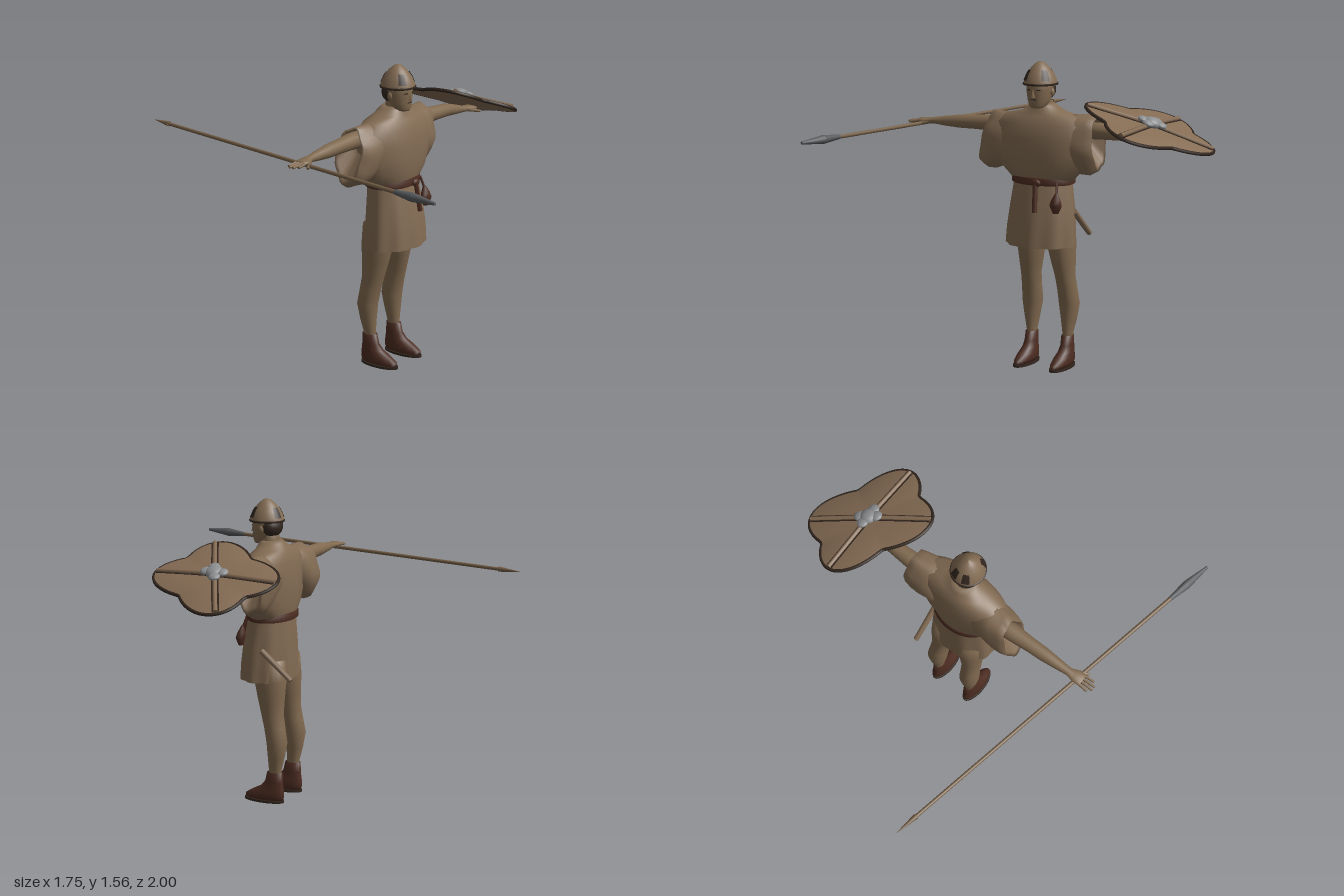
import * as THREE from 'three';

const V = (x, y, z) => new THREE.Vector3(x, y, z);
const paint = (name, color, side = THREE.FrontSide) => {
  const m = new THREE.MeshStandardMaterial({ color, side });
  m.name = name;
  return m;
};

// Skin a list of closed rings; optional end points close the ends.
function loft(rings, start, end) {
  const n = rings[0].length, pts = rings.flat(), idx = [];
  for (let i = 0; i < rings.length - 1; i++)
    for (let j = 0; j < n; j++) {
      const a = i * n + j, b = i * n + (j + 1) % n;
      idx.push(a, a + n, b, b, a + n, b + n);
    }
  const cap = (p, base, flip) => {
    const c = pts.push(p) - 1;
    for (let j = 0; j < n; j++) {
      const a = base + j, b = base + (j + 1) % n;
      idx.push(c, flip ? a : b, flip ? b : a);
    }
  };
  if (start) cap(start, 0, true);
  if (end) cap(end, (rings.length - 1) * n, false);
  const g = new THREE.BufferGeometry().setFromPoints(pts);
  g.setIndex(idx);
  g.computeVertexNormals();
  return g;
}

// Upright form: rows of [y, centre x, radius x, centre z, radius z, fold depth]
function upright(rows, { n = 24, folds = 7, close = true } = {}) {
  const rings = rows.map(([y, cx, rx, cz, rz, f = 0]) => Array.from({ length: n }, (_, j) => {
    const t = j / n * Math.PI * 2, k = 1 + f * Math.sin(folds * t + 0.6);
    return V(cx + rx * k * Math.cos(t), y, cz + rz * k * Math.sin(t));
  }));
  const mid = r => V(r[1], r[0], r[3]);
  return close ? loft(rings, mid(rows[0]), mid(rows.at(-1))) : loft(rings);
}

// Sideways form: rows of [x, centre y, radius y, centre z, radius z, fold depth]; s picks the side
function sideways(rows, s, { n = 16, shear = 0, folds = 6 } = {}) {
  const rings = rows.map(([x, cy, ry, cz, rz, f = 0]) => Array.from({ length: n }, (_, j) => {
    const t = j / n * Math.PI * 2, k = 1 + f * Math.sin(folds * t);
    const y = cy + ry * k * Math.cos(t);
    return V(s * (x + shear * (1.3 - y)), y, cz - s * rz * k * Math.sin(t));
  }));
  const mid = r => V(s * (r[0] + shear * (1.3 - r[1])), r[1], r[3]);
  return loft(rings, mid(rows[0]), mid(rows.at(-1)));
}

// Tapered rod between two points
function rod(a, b, ra, rb = ra, sides = 10) {
  const d = b.clone().sub(a), g = new THREE.CylinderGeometry(rb, ra, d.length(), sides);
  g.applyQuaternion(new THREE.Quaternion().setFromUnitVectors(V(0, 1, 0), d.clone().normalize()));
  const m = a.clone().add(b).multiplyScalar(0.5);
  return g.translate(m.x, m.y, m.z);
}

export function createModel() {
  const cloth = paint('tunic cloth', 0x826b53, THREE.DoubleSide);
  const skin = paint('skin', 0x80694f);
  const leather = paint('brown leather', 0x4c2c21);
  const dark = paint('dark trim', 0x32261e, THREE.DoubleSide);
  const hide = paint('shield face', 0x856c54);
  const wood = paint('spear wood', 0x766048);
  const iron = paint('spear iron', 0x585a5c);
  const steel = paint('boss steel', 0x8c8e90);
  const model = new THREE.Group();
  const body = new THREE.Group();
  body.name = 'figure';
  body.position.x = -0.008;
  model.add(body);
  const add = (name, geo, mat, parent = body) => {
    const m = new THREE.Mesh(geo, mat);
    m.name = name;
    parent.add(m);
    return m;
  };

  // Tunic
  add('skirt', upright([
    [0.64, -0.005, 0.183, 0.17, 0.138, 0.035], [0.72, -0.003, 0.18, 0.168, 0.135, 0.03],
    [0.82, 0, 0.172, 0.162, 0.128, 0.02], [0.92, 0, 0.16, 0.155, 0.115, 0.01], [0.98, 0, 0.155, 0.15, 0.108],
  ], { n: 48, folds: 9, close: false }), cloth);
  add('tunicTop', upright([
    [0.955, 0, 0.155, 0.15, 0.105], [0.985, 0, 0.18, 0.15, 0.113, 0.01], [1.03, 0, 0.225, 0.152, 0.12, 0.02],
    [1.1, 0, 0.258, 0.153, 0.125, 0.02], [1.18, 0, 0.268, 0.152, 0.123, 0.01], [1.25, 0, 0.255, 0.15, 0.112],
    [1.29, 0, 0.21, 0.145, 0.092], [1.31, 0, 0.12, 0.145, 0.08], [1.34, 0, 0.07, 0.15, 0.066], [1.352, 0, 0.056, 0.155, 0.056],
  ], { n: 40 }), cloth);
  for (const s of [1, -1]) {
    const w = s < 0 ? 0.01 : 0;
    add('sleeve', sideways([
      [0.1, 1.17, 0.13, 0.14, 0.1], [0.2, 1.155 - w, 0.148, 0.135, 0.1, 0.02],
      [0.25, 1.155 - w, 0.148, 0.13, 0.092, 0.04], [0.29, 1.165 - w, 0.135, 0.125, 0.08, 0.06],
      [0.285, 1.17 - w, 0.118, 0.125, 0.065, 0.06], [0.22, 1.2, 0.06, 0.125, 0.04],
    ], s, { n: 30, shear: s < 0 ? 0.26 : 0.04 }), cloth);

    // Arm and hand; the left hand is lower, gripping behind the shield
    const h = s > 0 ? 0.02 : 0;
    add('arm', sideways([
      [0.2, 1.225, 0.045, 0.125, 0.048], [0.32, 1.225, 0.041, 0.125, 0.044], [0.42, 1.222, 0.036, 0.128, 0.037],
      [0.5, 1.22, 0.034, 0.13, 0.035], [0.58, 1.217 - h / 2, 0.026, 0.132, 0.028], [0.65, 1.215 - h, 0.017, 0.134, 0.021],
      [0.69, 1.213 - h, 0.015, 0.138, 0.034], [0.73, 1.212 - h, 0.013, 0.14, 0.035],
    ], s), skin);
    const reach = s > 0 ? 0.745 : 0.795;
    for (let i = 0; i < 4; i++)
      add('finger', rod(V(s * 0.715, 1.212 - h, 0.116 + i * 0.016),
        V(s * (reach - (i % 3 ? 0 : 0.018)), 1.205 - h, 0.109 + i * 0.02), 0.009, 0.006, 8), skin);
    add('thumb', rod(V(s * 0.675, 1.21 - h, 0.155), V(s * 0.735, 1.195 - h, 0.19), 0.011, 0.006, 8), skin);

    // Leg
    add('leg', upright([
      [0.1, s * 0.104, 0.025, 0.085, 0.033], [0.17, s * 0.104, 0.026, 0.085, 0.034], [0.24, s * 0.106, 0.04, 0.078, 0.044],
      [0.32, s * 0.106, 0.053, 0.073, 0.054], [0.4, s * 0.102, 0.05, 0.088, 0.056], [0.47, s * 0.098, 0.05, 0.103, 0.06],
      [0.55, s * 0.092, 0.06, 0.112, 0.072], [0.64, s * 0.086, 0.072, 0.12, 0.085], [0.75, s * 0.082, 0.075, 0.13, 0.088],
    ]), skin);

    // Shoe and sole
    add('shoe', upright([
      [0.012, s * 0.104, 0.036, 0.148, 0.105], [0.03, s * 0.104, 0.042, 0.145, 0.11], [0.055, s * 0.104, 0.04, 0.126, 0.09],
      [0.08, s * 0.104, 0.034, 0.104, 0.064], [0.11, s * 0.104, 0.031, 0.092, 0.049], [0.16, s * 0.104, 0.029, 0.087, 0.042],
    ], { n: 20 }), leather);
    const sole = new THREE.CylinderGeometry(1, 1, 0.012, 24);
    sole.scale(0.046, 1, 0.112).translate(s * 0.104, 0.006, 0.148);
    add('sole', sole, dark);
  }

  // Belt, tail, pouch and scabbard
  add('belt', upright([
    [0.95, 0, 0.16, 0.15, 0.115], [0.955, 0, 0.168, 0.15, 0.123], [0.985, 0, 0.166, 0.15, 0.121], [0.99, 0, 0.158, 0.15, 0.113],
  ], { n: 36 }), leather);
  add('beltKnot', new THREE.SphereGeometry(0.022, 12, 8).scale(1.2, 0.9, 0.6).translate(0.025, 0.965, 0.275), leather);
  add('beltTail', rod(V(0.03, 0.82, 0.3), V(0.022, 0.965, 0.277), 0.013, 0.012, 6), leather);
  add('pouch', upright([
    [0.82, 0.13, 0.016, 0.265, 0.012], [0.86, 0.13, 0.035, 0.265, 0.025], [0.885, 0.13, 0.027, 0.262, 0.02], [0.92, 0.13, 0.007, 0.255, 0.008],
  ], { n: 8 }), leather);
  add('pouchStrap', rod(V(0.13, 0.91, 0.255), V(0.12, 0.97, 0.235), 0.006), leather);
  add('scabbard', rod(V(0.163, 0.81, 0.13), V(0.163, 0.672, -0.035), 0.016, 0.014, 8), cloth);

  // Neck, head and face
  add('neck', upright([[1.3, 0, 0.055, 0.16, 0.055], [1.35, 0, 0.048, 0.165, 0.05], [1.42, 0, 0.048, 0.17, 0.05]]), skin);
  add('head', upright([
    [1.333, 0, 0.03, 0.215, 0.03], [1.345, 0, 0.046, 0.205, 0.045], [1.375, 0, 0.058, 0.193, 0.06],
    [1.42, 0, 0.066, 0.184, 0.073], [1.46, 0, 0.066, 0.182, 0.075], [1.5, 0, 0.05, 0.18, 0.06],
  ]), skin);
  add('nose', new THREE.ConeGeometry(0.012, 0.045, 4).translate(0, 1.41, 0.258), skin);
  add('beard', new THREE.SphereGeometry(0.034, 14, 8).scale(1.15, 0.45, 0.9).translate(0, 1.345, 0.218), dark);
  add('hair', new THREE.SphereGeometry(0.066, 20, 12).scale(1.04, 0.85, 0.85).translate(0, 1.42, 0.155), dark);
  for (const s of [1, -1]) {
    add('ear', new THREE.SphereGeometry(0.015, 8, 6).scale(0.6, 1.3, 1).translate(s * 0.068, 1.41, 0.18), skin);
    add('eye', new THREE.BoxGeometry(0.02, 0.006, 0.006).rotateY(s * 0.4).translate(s * 0.026, 1.424, 0.249), dark);
  }
  add('mouth', new THREE.BoxGeometry(0.03, 0.004, 0.006).translate(0, 1.376, 0.252), dark);

  // Helmet with dark patches
  const helmet = new THREE.Group();
  helmet.name = 'helmet';
  helmet.position.set(0, 1.45, 0.18);
  helmet.scale.z = 1.06;
  body.add(helmet);
  const dome = (pts, ...arc) => new THREE.LatheGeometry(pts.map(p => new THREE.Vector2(...p)), ...arc);
  add('helmetShell', dome([[0.084, 0], [0.08, 0.02], [0.066, 0.052], [0.044, 0.082], [0.02, 0.104], [0, 0.111]], 28), cloth, helmet);
  add('helmetRim', new THREE.TorusGeometry(0.082, 0.006, 6, 28).rotateX(Math.PI / 2), dark, helmet);
  for (const a of [-0.95, 0.6, 2.5, -2.9])
    add('helmetPatch', dome([[0.083, 0.018], [0.069, 0.052], [0.057, 0.07]], 6, a, 0.5), dark, helmet);

  // Spear
  const front = V(-0.87, 1.2, 0.995), back = V(-0.495, 1.2, -1);
  const at = t => front.clone().lerp(back, t);
  add('spearShaft', rod(at(0.1), at(0.95), 0.01, 0.009), wood, model);
  add('spearHeadTip', rod(at(0.07), at(0), 0.022, 0.007), iron, model);
  add('spearHeadBase', rod(at(0.125), at(0.07), 0.011, 0.022), iron, model);
  add('spearButt', rod(at(0.94), at(1), 0.014, 0.001), wood, model);

  // Shield: four lobes made by two crossed ovals
  const shield = new THREE.Group();
  shield.name = 'shield';
  shield.position.set(0.58, 1.262, 0.155);
  shield.rotation.z = -0.385;
  model.add(shield);
  const axes = [Math.PI / 2, -0.47];
  const outline = (k, y) => Array.from({ length: 72 }, (_, j) => {
    const t = j / 72 * Math.PI * 2;
    const r = Math.max(...axes.map(a => 1 / Math.hypot(Math.cos(t - a) / 0.328, Math.sin(t - a) / 0.188)));
    return V(k * r * Math.cos(t), y, k * r * Math.sin(t));
  });
  add('shieldFace', loft([outline(1, -0.008), outline(1, 0.006), outline(0.5, 0.014)], V(0, -0.004, 0), V(0, 0.02, 0)), hide, shield);
  add('shieldRim', new THREE.TubeGeometry(new THREE.CatmullRomCurve3(outline(1, 0), true), 144, 0.009, 6, true), dark, shield);
  axes.forEach(a => {
    for (const s of [1, -1]) {
      const p = (r, y) => V(s * r * Math.cos(a), y, s * r * Math.sin(a));
      add('shieldRib', rod(p(0, 0.024), p(0.322, 0.01), 0.012, 0.011, 8), hide, shield);
      const band = new THREE.BoxGeometry(0.32, 0.008, 0.036).translate(0.16, 0, 0);
      band.rotateZ(-0.042).rotateY(s > 0 ? -a : Math.PI - a).translate(0, 0.019, 0);
      add('ribEdge', band, dark, shield);
      add('bossLobe', new THREE.SphereGeometry(0.03, 12, 8).scale(1, 0.5, 1).translate(...p(0.045, 0.034).toArray()), steel, shield);
    }
  });
  add('boss', new THREE.SphereGeometry(0.044, 18, 10).scale(1, 0.6, 1).translate(0, 0.032, 0), steel, shield);
  return model;
}
